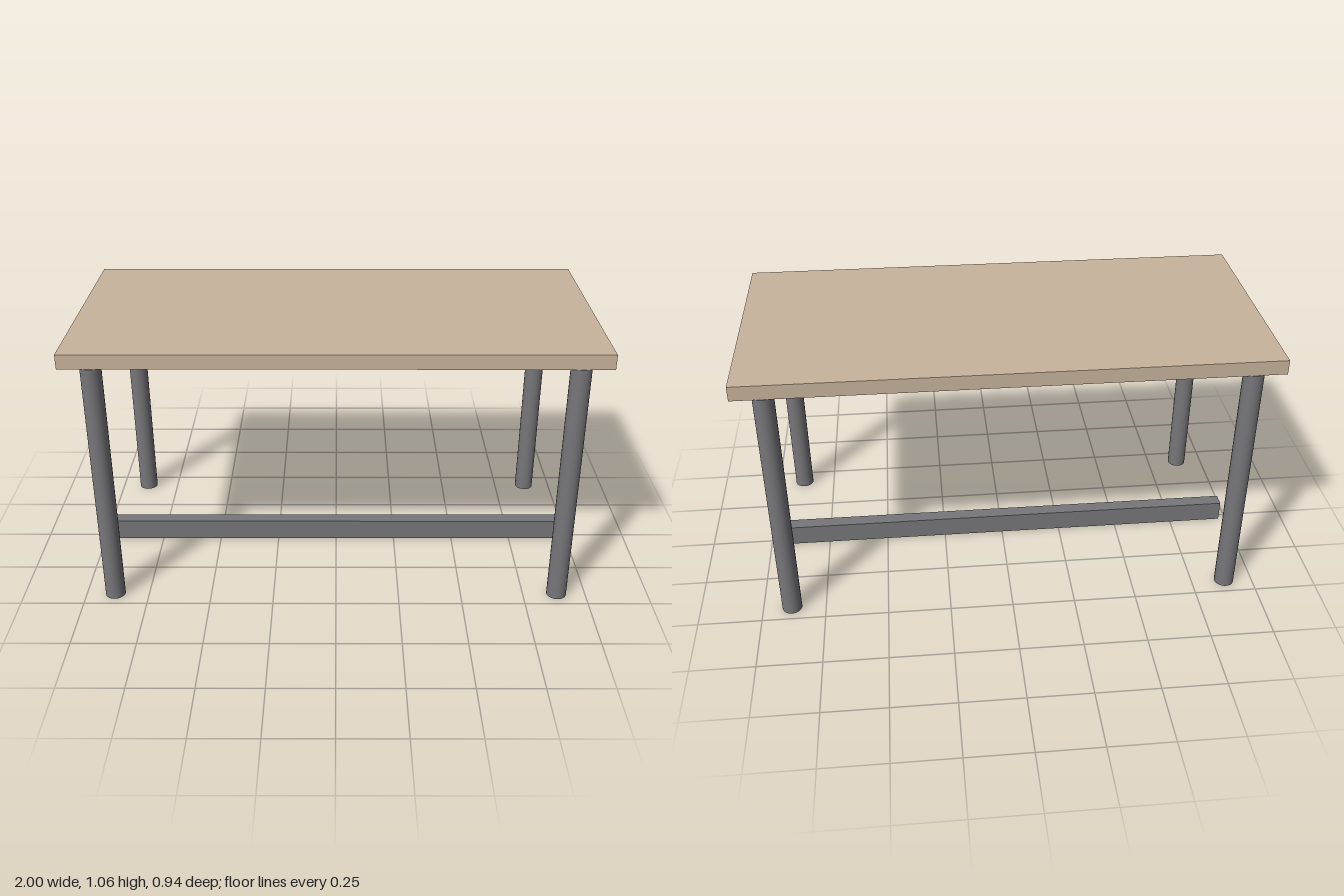
import * as THREE from 'three';

export function createModel() {
  const table = new THREE.Group();
  table.name = 'table';
  const wood = new THREE.MeshStandardMaterial({ color: 0xc8b49c });
  const metal = new THREE.MeshStandardMaterial({ color: 0x77777b });

  const add = (name, geometry, material, x, y, z) => {
    const mesh = new THREE.Mesh(geometry, material);
    mesh.name = name;
    mesh.position.set(x, y, z);
    table.add(mesh);
  };

  const legHeight = 1.0, topThickness = 0.057, barHeight = 0.086;

  // Flat rectangular top
  add('tableTop', new THREE.BoxGeometry(2, topThickness, 0.93), wood, 0, legHeight + topThickness / 2, 0);

  // Four round legs, just proud of the long edges
  const legGeometry = new THREE.CylinderGeometry(0.039, 0.039, legHeight, 32);
  for (const [side, x] of [['Left', 0.885], ['Right', -0.885]]) {
    for (const [end, z] of [['front', 0.431], ['back', -0.431]]) {
      add(`${end}${side}Leg`, legGeometry, metal, x, legHeight / 2, z);
    }
  }

  // Long bar on the floor, midway between the legs
  add('floorBar', new THREE.BoxGeometry(1.94, barHeight, 0.055), metal, 0, barHeight / 2, 0);

  return table;
}
